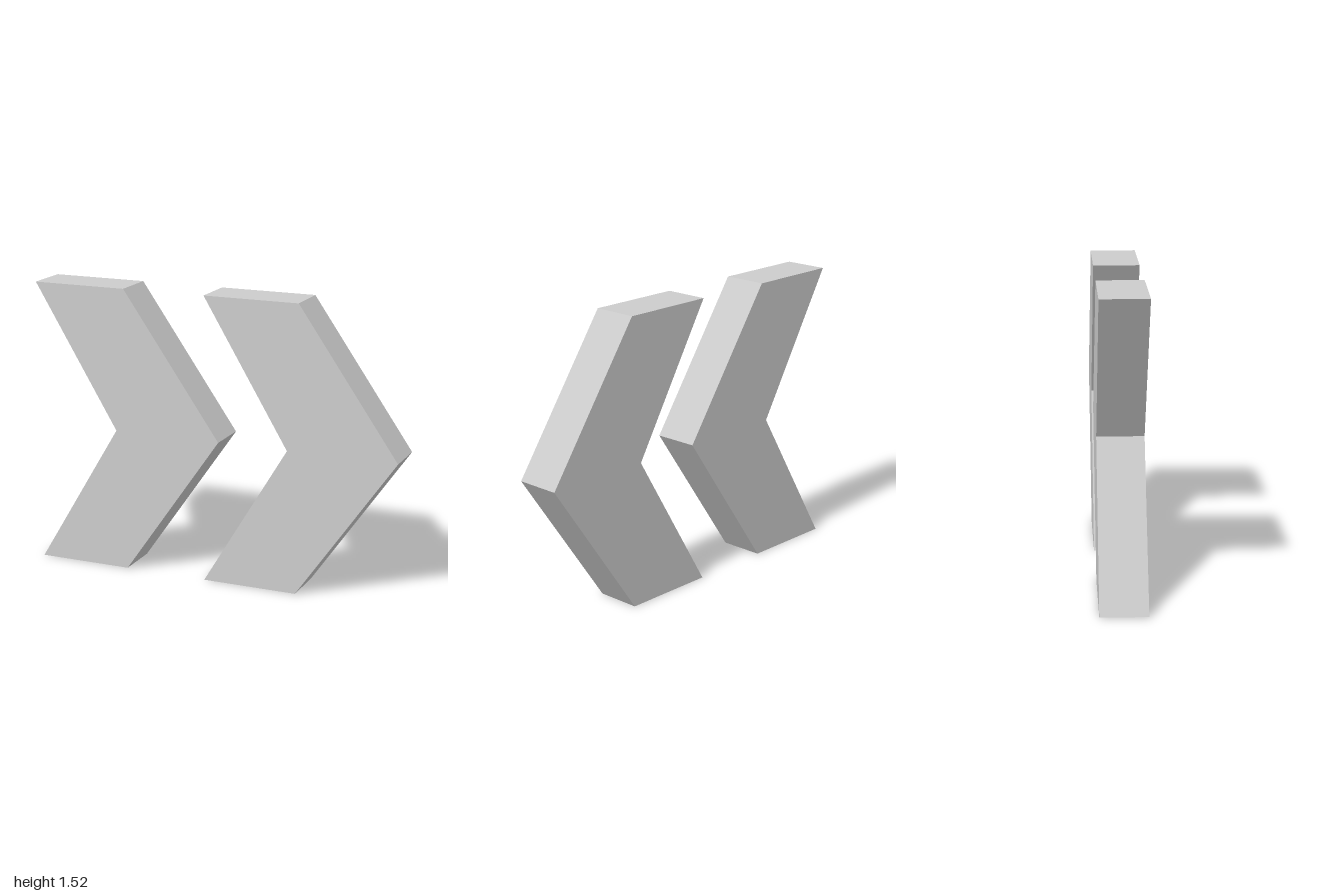
import * as THREE from 'three';

const HEIGHT = 1.52;
const DEPTH = 0.236;
const SPACING = 0.96;

// Chevron outline pointing to +x, starting at its rear lower corner
function chevronShape() {
  return new THREE.Shape([
    new THREE.Vector2(0, 0),
    new THREE.Vector2(0.51, 0),
    new THREE.Vector2(1.04, HEIGHT / 2), // tip
    new THREE.Vector2(0.51, HEIGHT),
    new THREE.Vector2(0, HEIGHT),
    new THREE.Vector2(0.457, HEIGHT / 2), // inner notch
  ]);
}

export function createModel() {
  const group = new THREE.Group();
  group.name = 'doubleChevron';
  const material = new THREE.MeshStandardMaterial({ color: 0xcccccc, flatShading: true });

  const geometry = new THREE.ExtrudeGeometry(chevronShape(), { depth: DEPTH, bevelEnabled: false });
  geometry.translate(0, 0, -DEPTH / 2);

  // Two identical chevrons side by side
  ['rearChevron', 'leadingChevron'].forEach((name, i) => {
    const chevron = new THREE.Mesh(geometry, material);
    chevron.name = name;
    chevron.position.x = -1 + i * SPACING;
    group.add(chevron);
  });
  return group;
}
